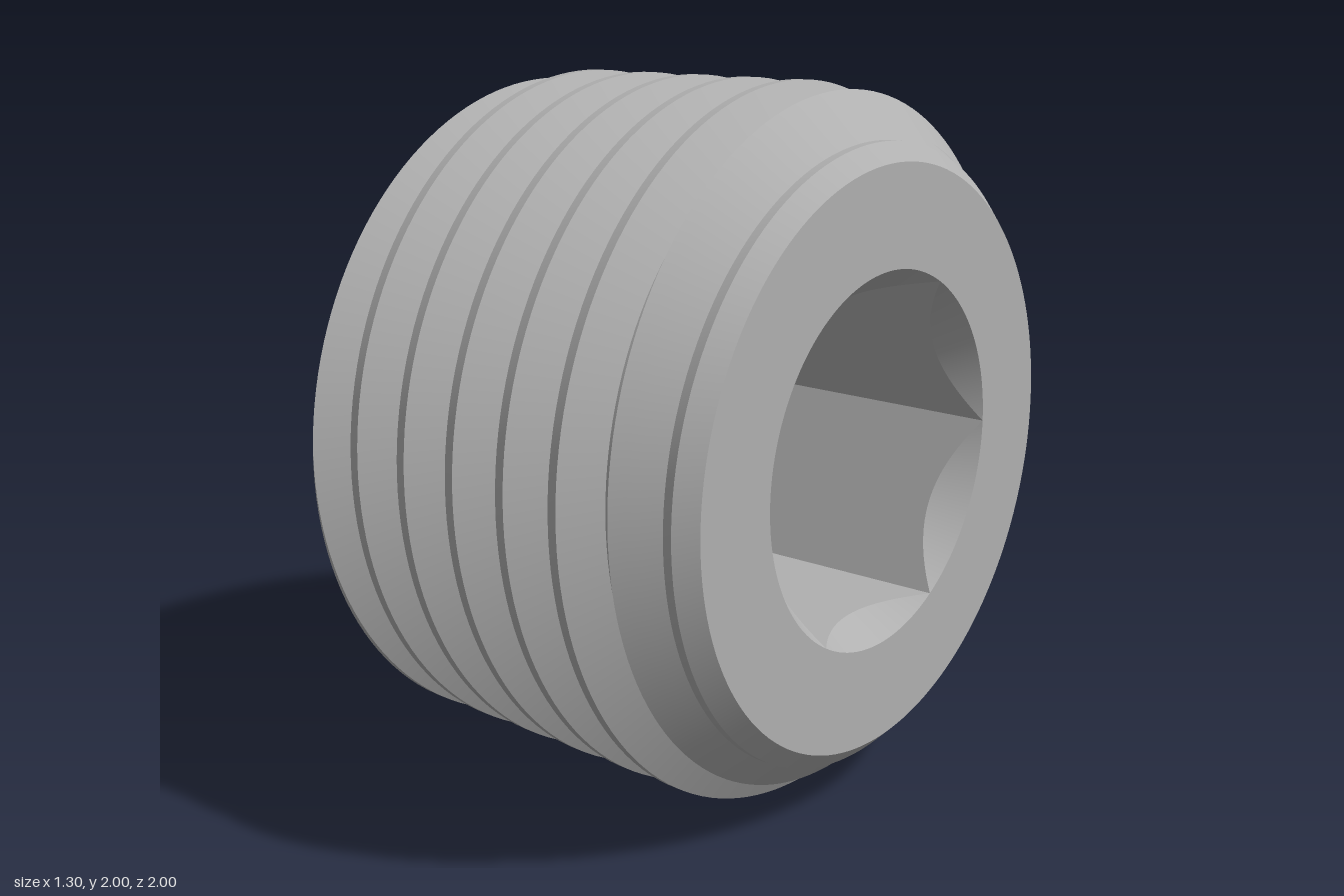
import * as THREE from 'three';
import { toCreasedNormals } from 'three/addons/utils/BufferGeometryUtils.js';

const SEGMENTS = 144;
const X_LEFT = -0.65, X_THREAD_END = 0.575, X_FACE = 0.65;
const R_END = 0.86;                 // radius where the thread runs out at both ends
const PITCH = 0.178;
const HEX_FLAT = 0.455, HEX_CORNER = HEX_FLAT / Math.cos(Math.PI / 6);

const crest = x => 0.991 + 0.028 * x;
const root = x => 0.878 + 0.028 * x;
// 45 degree bevels that trim the thread at each end
const bevel = x => R_END + (x < 0 ? x - X_LEFT : X_THREAD_END - x);

// Sweep a profile of [x, radius] points, which may change with the angle, about the x axis
function sweep(profileAt) {
  const pos = [], index = [];
  let count = 0;
  for (let j = 0; j <= SEGMENTS; j++) {
    const a = (j % SEGMENTS) / SEGMENTS * Math.PI * 2;
    const profile = profileAt(j / SEGMENTS * Math.PI * 2);
    count = profile.length;
    for (const [x, r] of profile) pos.push(x, 1 + r * Math.cos(a), r * Math.sin(a));
  }
  for (let j = 0; j < SEGMENTS; j++) {
    for (let i = 0; i < count - 1; i++) {
      const a = j * count + i, b = a + 1, c = a + count, d = c + 1;
      index.push(a, c, b, b, c, d);
    }
  }
  const g = new THREE.BufferGeometry();
  g.setAttribute('position', new THREE.Float32BufferAttribute(pos, 3));
  g.setIndex(index);
  return toCreasedNormals(g, 0.2);
}

// Tapered helical thread, with each flank cut exactly where it meets a bevel
function threadProfile(angle) {
  const keys = [];
  for (let n = -7; n <= 2; n++) {
    const c = 0.3 + PITCH * (n + angle / (Math.PI * 2));
    for (const [dx, radius] of [[-0.076, root], [-0.013, crest], [0.013, crest], [0.076, root]]) {
      keys.push([c + dx, radius(c + dx)]);
    }
  }
  const trim = ([x, r]) => {
    if (x <= X_LEFT) return [X_LEFT, R_END];
    if (x >= X_THREAD_END) return [X_THREAD_END, R_END];
    return [x, Math.min(r, bevel(x))];
  };
  const out = [trim(keys[0])];
  for (let i = 1; i < keys.length; i++) {
    const p = keys[i - 1], q = keys[i];
    const f0 = p[1] - bevel(p[0]), f1 = q[1] - bevel(q[0]);
    const t = f0 * f1 < 0 ? f0 / (f0 - f1) : (Math.abs(f0) < Math.abs(f1) ? 0 : 1);
    out.push(trim([p[0] + (q[0] - p[0]) * t, p[1] + (q[1] - p[1]) * t]), trim(q));
  }
  return out;
}

// Hexagon radius at an angle, with flats at top and bottom
function hexRadius(angle) {
  const sector = Math.PI / 3;
  return HEX_FLAT / Math.cos(angle - Math.round(angle / sector) * sector);
}

export function createModel() {
  const group = new THREE.Group();
  group.name = 'threadedPlug';
  const steel = new THREE.MeshStandardMaterial({ color: 0xb0b0b0 });
  steel.name = 'grey steel';

  const add = (name, profileAt) => {
    const mesh = new THREE.Mesh(sweep(profileAt), steel);
    mesh.name = name;
    group.add(mesh);
  };

  add('thread', threadProfile);
  add('closedEnd', () => [[X_LEFT, 0], [X_LEFT, R_END]]);
  add('socketEnd', () => [[X_THREAD_END, R_END], [0.6, R_END], [X_FACE, 0.81], [X_FACE, HEX_CORNER]]);

  // Conical lead-in, six flat walls and the floor
  const leadInX = r => X_FACE - (HEX_CORNER - r) * 1.3;
  const floorX = -0.05;
  add('socketLeadIn', a => [[X_FACE, HEX_CORNER], [leadInX(hexRadius(a)), hexRadius(a)]]);
  add('hexSocketWalls', a => [[leadInX(hexRadius(a)), hexRadius(a)], [floorX, hexRadius(a)]]);
  add('hexSocketFloor', a => [[floorX, hexRadius(a)], [floorX, 0]]);

  return group;
}
